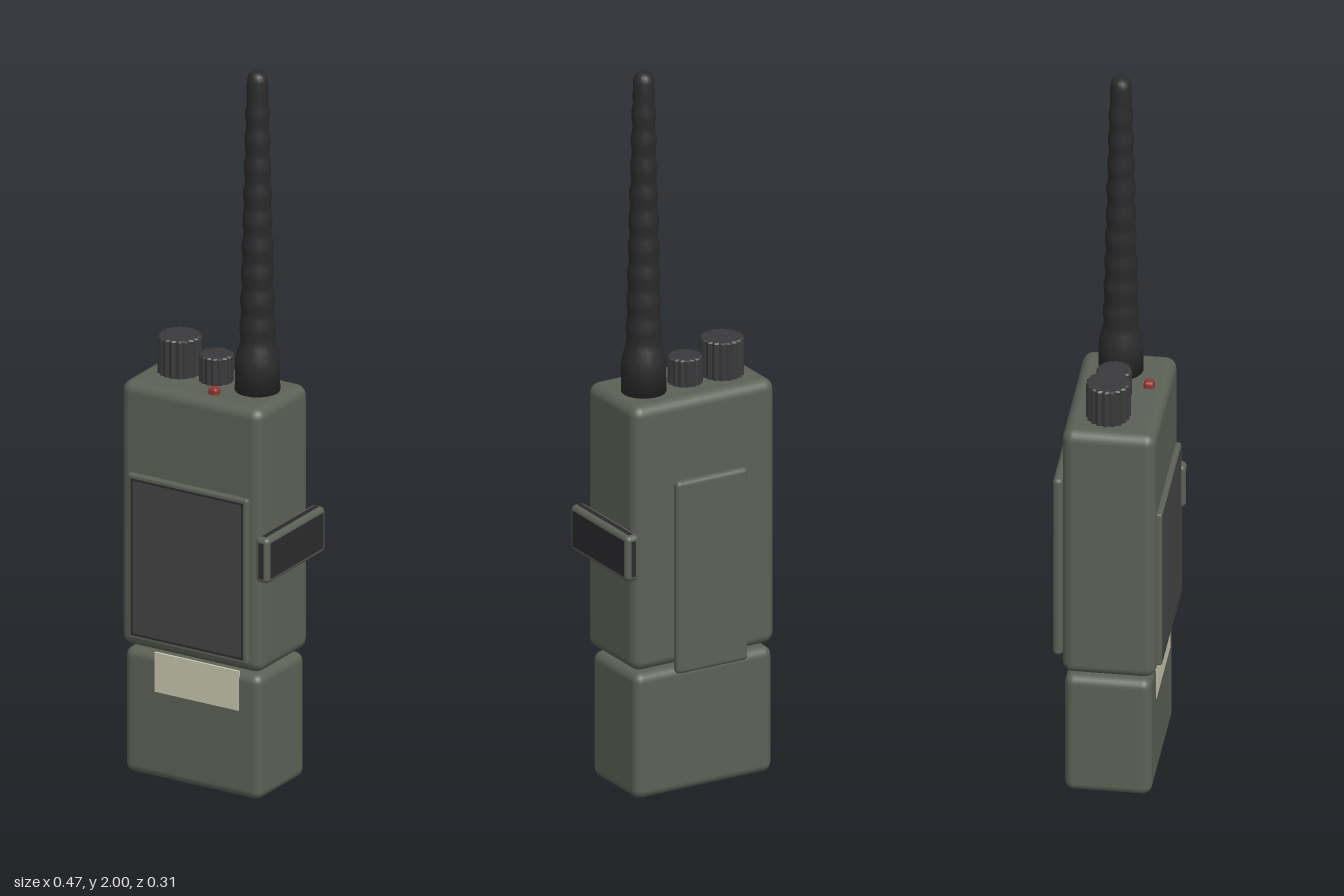
import * as THREE from 'three';
import { RoundedBoxGeometry } from 'three/addons/geometries/RoundedBoxGeometry.js';

const mat = (color) => new THREE.MeshStandardMaterial({ color });
const olive = mat(0x5c6156), dark = mat(0x444446), black = mat(0x2b2b2d);
const knobGrey = mat(0x3a3a3c), red = mat(0x8f3530), cream = mat(0xc8c6ae);

export function createModel() {
  const group = new THREE.Group();

  const add = (name, geometry, material) => {
    const mesh = new THREE.Mesh(geometry, material);
    mesh.name = name;
    group.add(mesh);
    return mesh;
  };
  // Boxes are given by their [min, max] range on each axis
  const place = (geometry, x, y, z) =>
    geometry.translate((x[0] + x[1]) / 2, (y[0] + y[1]) / 2, (z[0] + z[1]) / 2);
  const rounded = (name, x, y, z, r, material) =>
    add(name, place(new RoundedBoxGeometry(x[1] - x[0], y[1] - y[0], z[1] - z[0], 3, r), x, y, z), material);
  const box = (name, x, y, z, material) =>
    add(name, place(new THREE.BoxGeometry(x[1] - x[0], y[1] - y[0], z[1] - z[0]), x, y, z), material);

  // Case and battery, joined by a hidden neck
  rounded('body', [-0.237, 0.198], [0.362, 1.105], [-0.116, 0.132], 0.03, olive);
  rounded('battery', [-0.232, 0.189], [0, 0.352], [-0.11, 0.12], 0.025, olive);
  box('batteryNeck', [-0.18, 0.14], [0.33, 0.38], [-0.07, 0.08], olive);
  box('label', [-0.135, 0.125], [0.246, 0.357], [0.115, 0.122], cream);

  // Front panel in its raised frame
  rounded('panelFrame', [-0.205, 0.167], [0.39, 0.855], [0.126, 0.146], 0.007, olive);
  box('panelGroove', [-0.193, 0.155], [0.402, 0.843], [0.14, 0.1463], black);
  box('panel', [-0.187, 0.149], [0.408, 0.837], [0.14, 0.147], dark);

  // Belt clip on the back
  rounded('beltClip', [-0.128, 0.09], [0.35, 0.89], [-0.155, -0.128], 0.012, olive);

  // Talk bar on the left side, with dark inlays on its flat faces
  rounded('talkBar', [0.193, 0.235], [0.632, 0.76], [-0.137, 0.152], 0.014, olive);
  box('talkBarSideInlay', [0.1925, 0.2355], [0.646, 0.746], [-0.123, 0.138], black);
  box('talkBarTopInlay', [0.207, 0.221], [0.6315, 0.7605], [-0.123, 0.138], black);
  box('talkBarEndInlay', [0.207, 0.221], [0.646, 0.746], [-0.1375, 0.1525], black);

  // Fluted knobs
  const knob = (name, x, r, height, teeth) => {
    const shape = new THREE.Shape();
    const steps = teeth * 4;
    for (let i = 0; i < steps; i++) {
      const a = (i / steps) * Math.PI * 2;
      const rad = r * (0.955 + 0.045 * Math.cos(a * teeth));
      shape[i ? 'lineTo' : 'moveTo'](rad * Math.cos(a), rad * Math.sin(a));
    }
    const bevel = 0.004;
    const geometry = new THREE.ExtrudeGeometry(shape, {
      depth: height - bevel, bevelThickness: bevel, bevelSize: bevel, bevelOffset: -bevel, bevelSegments: 1,
    });
    geometry.rotateX(-Math.PI / 2);
    add(name, geometry, knobGrey).position.set(x, 1.1, -0.006);
  };
  knob('volumeKnob', -0.136, 0.059, 0.11, 18);
  knob('channelKnob', -0.023, 0.047, 0.08, 16);

  // Indicator light
  rounded('indicatorLight', [0.011, 0.039], [1.095, 1.124], [0.066, 0.094], 0.009, red);

  // Antenna: thick foot, then a ribbed taper to a rounded tip
  const profile = [[0, 1.1], [0.06, 1.1], [0.059, 1.18], [0.056, 1.205], [0.049, 1.23]];
  const ribs = 9;
  for (let i = 0; i < ribs; i++) {
    const y = 1.25 + i * 0.075;
    const r = 0.0475 - i * 0.0019;
    profile.push([r - 0.003, y], [r, y + 0.025], [r, y + 0.042], [r - 0.004, y + 0.06]);
  }
  profile.push([0.029, 1.93], [0.028, 1.975], [0.023, 1.992], [0.014, 2], [0, 2]);
  const points = profile.map(([r, y]) => new THREE.Vector2(r, y));
  add('antenna', new THREE.LatheGeometry(points, 20), black).position.set(0.104, 0, -0.006);

  return group;
}
